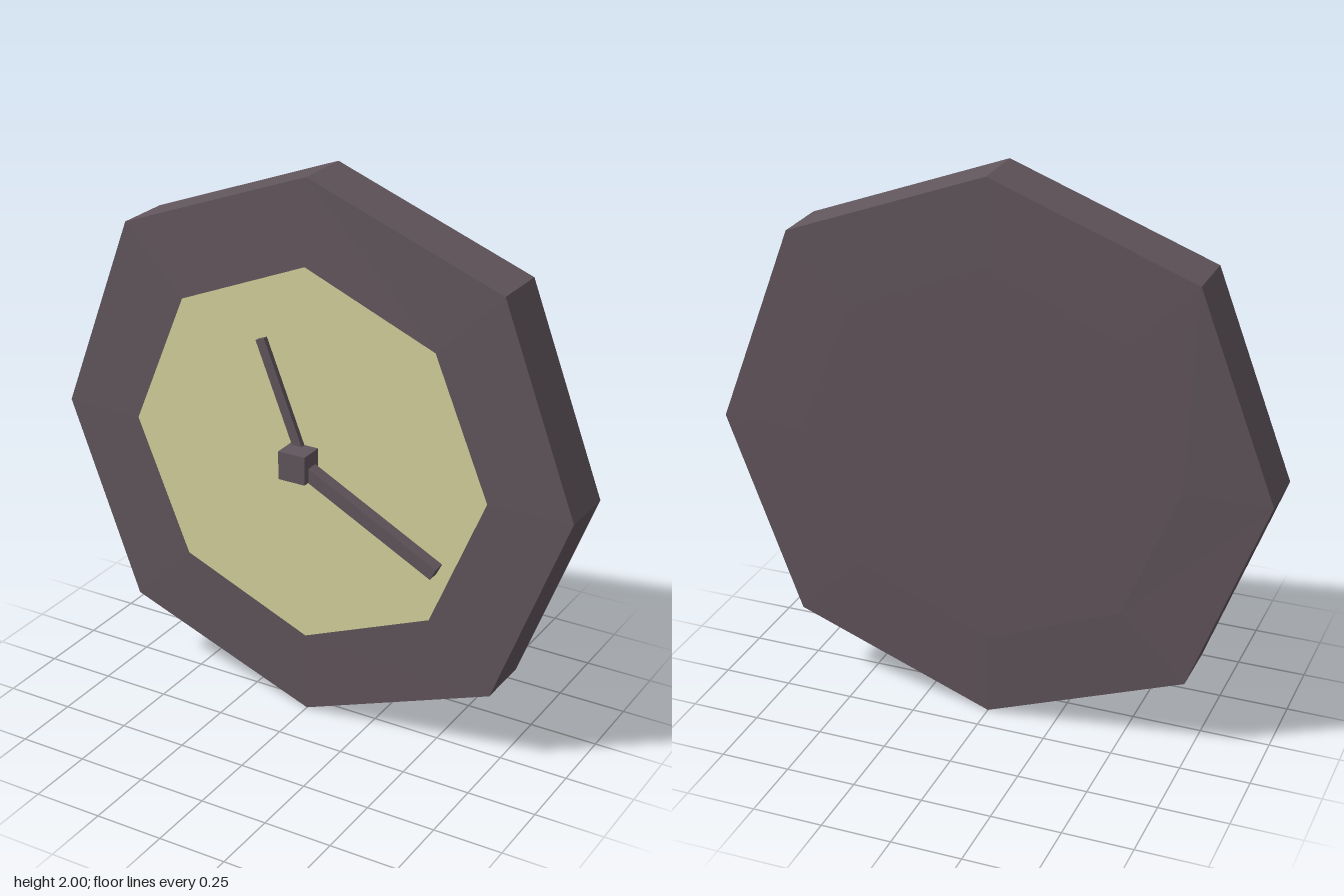
import * as THREE from 'three';

const SIDES = 8, DIAL_R = 0.695, FRONT = 0.07, BACK = -0.16;

export function createModel() {
  const frameMat = new THREE.MeshStandardMaterial({ color: 0x62565d });
  frameMat.name = 'dark plum frame';
  const dialMat = new THREE.MeshStandardMaterial({ color: 0xd7d29e });
  dialMat.name = 'cream dial';

  const clock = new THREE.Group();
  clock.name = 'wallClock';
  const add = (name, geometry, material, x = 0, y = 0, z = 0) => {
    const mesh = new THREE.Mesh(geometry, material);
    mesh.name = name;
    mesh.position.set(x, y, z);
    clock.add(mesh);
    return mesh;
  };

  // Eight-sided case: profile from the back to the dial opening
  const profile = [[DIAL_R, BACK], [1, -0.15], [1, 0.06], [DIAL_R, FRONT]]
    .map(([r, h]) => new THREE.Vector2(r, h));
  const lathe = new THREE.LatheGeometry(profile, SIDES).rotateX(Math.PI / 2);
  const pos = lathe.attributes.position;
  for (let i = 0; i < pos.count; i++) {
    // The diagonal corners of the rim stand slightly further out
    const x = pos.getX(i), y = pos.getY(i);
    if (Math.hypot(x, y) > 0.9 && Math.abs(x * y) > 0.1) pos.setXY(i, x * 1.027, y * 1.027);
  }
  const caseGeometry = lathe.toNonIndexed();
  caseGeometry.computeVertexNormals();
  add('frame', caseGeometry, frameMat, 0, 1, 0);

  // Back panel and dial
  const disc = new THREE.CircleGeometry(DIAL_R, SIDES);
  add('backPanel', disc, frameMat, 0, 1, BACK).rotation.y = Math.PI;
  add('dial', disc, dialMat, 0, 1, FRONT);

  // Hands reach from the centre to a tip
  const hand = (name, tipX, tipY, width, z0, z1) => {
    const length = Math.hypot(tipX, tipY);
    const geometry = new THREE.BoxGeometry(length, width, z1 - z0).translate(length / 2, 0, 0);
    add(name, geometry, frameMat, 0, 1, (z0 + z1) / 2).rotation.z = Math.atan2(tipY, tipX);
  };
  hand('hourHand', -0.165, 0.414, 0.036, 0.071, 0.09);
  hand('minuteHand', 0.535, -0.275, 0.048, 0.088, 0.134);

  // Square hub
  add('hub', new THREE.BoxGeometry(0.104, 0.104, 0.09), frameMat, 0, 1, 0.115);

  return clock;
}
